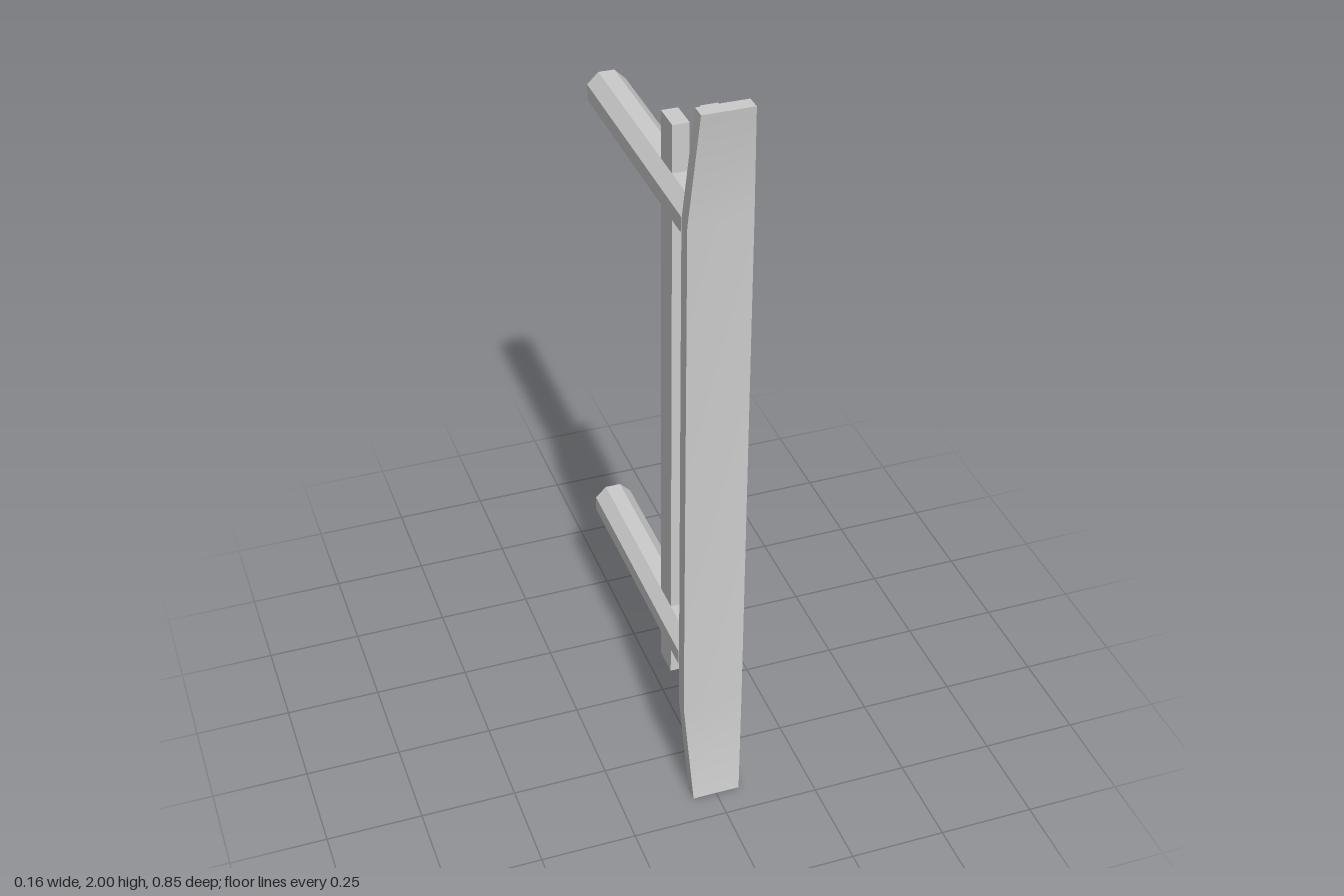
import * as THREE from 'three';

const metal = new THREE.MeshStandardMaterial({ color: 0xcccccc });
metal.name = 'grey metal';

// Bar from rectangular sections {y, w (half width), z0 (back), z1 (front)}, bottom to top:
// smooth along its length, crisp along its four long edges.
function sectionBar(sections) {
  const corners = (s) => [[-s.w, s.y, s.z1], [s.w, s.y, s.z1], [s.w, s.y, s.z0], [-s.w, s.y, s.z0]];
  const pos = [], index = [];
  for (let side = 0; side < 4; side++) {
    const base = pos.length / 3;
    sections.forEach((s, i) => {
      const c = corners(s);
      pos.push(...c[side], ...c[(side + 1) % 4]);
      if (i > 0) {
        const a = base + (i - 1) * 2;
        index.push(a, a + 1, a + 3, a, a + 3, a + 2);
      }
    });
  }
  // End caps
  const bottom = pos.length / 3;
  pos.push(...corners(sections[0]).flat(), ...corners(sections[sections.length - 1]).flat());
  index.push(bottom, bottom + 2, bottom + 1, bottom, bottom + 3, bottom + 2);
  index.push(bottom + 4, bottom + 5, bottom + 6, bottom + 4, bottom + 6, bottom + 7);
  const geo = new THREE.BufferGeometry();
  geo.setAttribute('position', new THREE.Float32BufferAttribute(pos, 3));
  geo.setIndex(index);
  geo.computeVertexNormals();
  return geo;
}

export function createModel() {
  const group = new THREE.Group();
  group.name = 'doorPullHandle';
  const add = (name, geo, x, y, z) => {
    const mesh = new THREE.Mesh(geo, metal);
    mesh.name = name;
    mesh.position.set(x, y, z);
    group.add(mesh);
    return mesh;
  };

  // Wide front grip, tapering and bending forward at both ends
  add('gripPlate', sectionBar([
    { y: 0, w: 0.063, z0: 0.386, z1: 0.424 },
    { y: 0.29, w: 0.079, z0: 0.35, z1: 0.388 },
    { y: 1.71, w: 0.079, z0: 0.35, z1: 0.388 },
    { y: 2, w: 0.063, z0: 0.386, z1: 0.424 },
  ]), 0, 0, 0);

  // Narrow rail following the back of the grip
  add('backingRail', sectionBar([
    { y: 0.045, w: 0.021, z0: 0.304, z1: 0.383 },
    { y: 0.3, w: 0.021, z0: 0.271, z1: 0.352 },
    { y: 1.7, w: 0.021, z0: 0.271, z1: 0.352 },
    { y: 1.958, w: 0.021, z0: 0.304, z1: 0.383 },
  ]), -0.001, 0, 0);

  // Straight bar crossing both posts
  add('crossBar', new THREE.BoxGeometry(0.042, 1.64, 0.078), -0.001, 1.003, 0.088);

  // Octagonal mounting posts, flat side up
  const post = new THREE.CylinderGeometry(0.0548, 0.0548, 0.694, 8).toNonIndexed();
  post.rotateY(Math.PI / 8).rotateX(Math.PI / 2);
  post.computeVertexNormals();
  for (const [name, y] of [['lowerPost', 0.357], ['upperPost', 1.648]]) {
    add(name, post, -0.001, y, -0.077);
  }
  return group;
}
